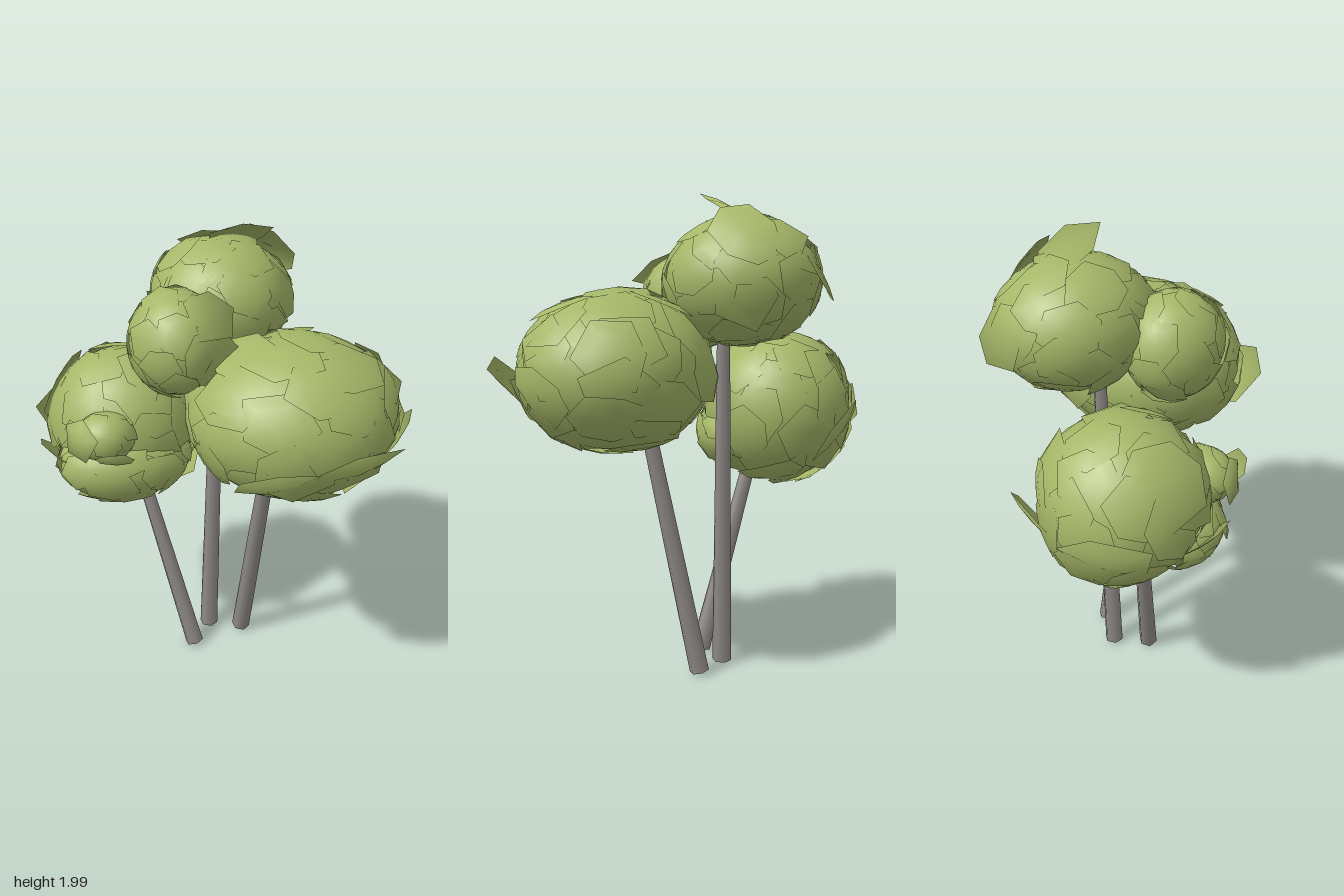
import * as THREE from 'three';
import { mergeGeometries } from 'three/addons/utils/BufferGeometryUtils.js';

const V = (a) => new THREE.Vector3(...a);

// Two directions spanning the plane across a normal, so that a x b = n
function tangents(n) {
  const ref = Math.abs(n.y) < 0.9 ? V([0, 1, 0]) : V([1, 0, 0]);
  const a = ref.cross(n).normalize();
  return [a, n.clone().cross(a)];
}

export function createModel() {
  let seed = 11;
  const rand = () => {
    seed = (seed * 16807) % 2147483647;
    return seed / 2147483647;
  };
  const jitter = (s) => (rand() - 0.5) * 2 * s;

  const leafGreen = new THREE.MeshStandardMaterial({ color: 0xa5b768, side: THREE.DoubleSide });
  leafGreen.name = 'leafGreen';
  const barkGrey = new THREE.MeshStandardMaterial({ color: 0x8f8a88 });
  barkGrey.name = 'barkGrey';

  const model = new THREE.Group();
  model.name = 'tree';

  // Ragged polygon of two rings; place(u, v) bends the unit disc into position
  function leafGeometry(place) {
    const sides = 5 + Math.floor(rand() * 3);
    const turn = rand() * Math.PI;
    const points = [place(0, 0)];
    const radii = Array.from({ length: sides }, () => 0.85 + rand() * 0.3);
    for (const ring of [0.55, 1]) {
      for (let i = 0; i < sides; i++) {
        const t = turn + (i / sides) * Math.PI * 2;
        const r = radii[i] * ring;
        points.push(place(Math.cos(t) * r, Math.sin(t) * r));
      }
    }
    const index = [];
    for (let i = 0; i < sides; i++) {
      const a = 1 + i, b = 1 + (i + 1) % sides;
      index.push(0, a, b, a, a + sides, b + sides, a, b + sides, b);
    }
    const g = new THREE.BufferGeometry().setFromPoints(points);
    g.setIndex(index);
    g.computeVertexNormals();
    return g;
  }

  // Rounded clump: a smooth core under overlapping curved leaves,
  // plus loose leaves standing off it, each given as center, facing, radius
  function clump(name, center, radii, count, size, loose = []) {
    const c = V(center), r = V(radii);
    const core = new THREE.SphereGeometry(0.96, 24, 16);
    core.deleteAttribute('uv');
    core.scale(...radii).translate(...center);
    const leaves = [];
    for (let i = 0; i < count; i++) {
      const y = 1 - (2 * (i + 0.5)) / count;
      const t = i * 2.39996 + jitter(0.25);
      const s = Math.sqrt(1 - y * y);
      const n = V([Math.cos(t) * s, y, Math.sin(t) * s]);
      const [a, b] = tangents(n);
      const lift = 0.99 + rand() * 0.03;
      const tu = jitter(0.06), tv = jitter(0.06);
      leaves.push(leafGeometry((u, v) => n.clone()
        .addScaledVector(a, u * size).addScaledVector(b, v * size).normalize()
        .multiplyScalar(lift + u * tu + v * tv).multiply(r).add(c)));
    }
    for (const [middle, facing, radius] of loose) {
      const n = V(facing).normalize();
      const [a, b] = tangents(n);
      leaves.push(leafGeometry((u, v) => V(middle)
        .addScaledVector(a, u * radius).addScaledVector(b, v * radius)
        .addScaledVector(n, -0.15 * radius * (u * u + v * v))));
    }
    // Shade every leaf with the clump's own roundness
    for (const { attributes: { position, normal } } of leaves) {
      for (let k = 0; k < position.count; k++) {
        const p = new THREE.Vector3().fromBufferAttribute(position, k).sub(c).divide(r).divide(r).normalize();
        normal.setXYZ(k, p.x, p.y, p.z);
      }
    }
    const mesh = new THREE.Mesh(mergeGeometries([core, ...leaves]), leafGreen);
    mesh.name = name;
    model.add(mesh);
  }

  clump('frontFoliage', [0.25, 1.29, 0.23], [0.43, 0.325, 0.4], 46, 0.42, [
    [[0.03, 1.16, 0.57], [-0.15, -0.75, 0.65], 0.17],
    [[0.35, 1.19, 0.61], [0.1, -0.75, 0.65], 0.19],
    [[0.6, 1.22, 0.45], [0.7, -0.5, 0.5], 0.14],
    [[0.65, 1.38, 0.13], [0.9, 0.2, -0.2], 0.14],
    [[0.49, 1.38, -0.02], [0.5, 0.4, -0.75], 0.13],
    [[0.3, 1.02, 0.12], [0.1, -1, -0.1], 0.16],
    [[-0.13, 1.42, 0.19], [-0.75, 0.35, 0.3], 0.13],
    [[0.02, 1.58, 0.21], [-0.35, 0.9, 0.2], 0.13],
  ]);
  clump('backFoliage', [-0.3, 1.1, -0.37], [0.33, 0.335, 0.33], 42, 0.42, [
    [[-0.51, 1.03, -0.63], [-0.5, -0.5, -0.7], 0.18],
    [[-0.12, 1.02, -0.67], [0.15, -0.5, -0.8], 0.17],
    [[-0.57, 1.31, -0.42], [-0.75, 0.45, -0.5], 0.17],
    [[-0.62, 1.0, -0.27], [-0.65, -0.75, 0.1], 0.13],
    [[-0.58, 1.2, -0.28], [-0.85, 0.5, 0.1], 0.14],
    [[-0.07, 0.82, -0.38], [0.4, -0.9, -0.15], 0.14],
    [[-0.32, 0.82, -0.57], [-0.1, -0.8, -0.6], 0.15],
    [[0.0, 1.0, -0.25], [0.85, -0.4, 0.3], 0.13],
  ]);
  clump('topFoliage', [0.11, 1.65, -0.26], [0.3, 0.26, 0.32], 38, 0.44, [
    [[0.18, 1.92, -0.25], [0.05, 0.85, -0.55], 0.15],
    [[0.36, 1.83, -0.31], [0.75, 0.55, -0.4], 0.15],
    [[0.15, 1.68, -0.58], [0, 0.5, -0.85], 0.14],
    [[0.4, 1.6, -0.32], [0.95, 0.2, -0.1], 0.13],
    [[-0.05, 1.82, -0.1], [-0.45, 0.8, 0.35], 0.14],
    [[-0.12, 1.68, -0.33], [-0.9, 0.2, -0.3], 0.12],
  ]);
  clump('topSideFoliage', [-0.17, 1.57, 0], [0.19, 0.215, 0.215], 24, 0.5, [
    [[-0.1, 1.72, 0.14], [-0.2, 0.8, 0.55], 0.13],
    [[-0.06, 1.55, 0.2], [0, 0.3, 0.95], 0.12],
    [[-0.3, 1.48, 0.03], [-0.85, -0.3, 0.2], 0.11],
  ]);
  clump('backFrontFoliage', [-0.34, 0.98, -0.22], [0.3, 0.18, 0.22], 24, 0.48);
  clump('smallFoliage', [-0.45, 1.16, -0.1], [0.13, 0.11, 0.12], 14, 0.55, [
    [[-0.45, 1.11, 0.06], [-0.2, -0.75, 0.65], 0.08],
    [[-0.58, 1.18, -0.06], [-0.85, 0.2, 0.45], 0.1],
  ]);

  // Leaning tapered trunks running up into the foliage
  function trunk(name, base, top, topRadius) {
    const a = V(base), b = V(top);
    const dir = b.clone().sub(a);
    const mesh = new THREE.Mesh(new THREE.CylinderGeometry(topRadius, 0.042, dir.length(), 6), barkGrey);
    mesh.name = name;
    mesh.position.copy(a).add(b).multiplyScalar(0.5);
    mesh.quaternion.setFromUnitVectors(V([0, 1, 0]), dir.normalize());
    model.add(mesh);
  }
  trunk('backTrunk', [-0.09, 0.01, -0.06], [-0.3, 1.05, -0.3], 0.027);
  trunk('topTrunk', [0.025, 0.01, -0.175], [0.075, 1.55, -0.18], 0.026);
  trunk('frontTrunk', [0.165, 0.01, -0.1], [0.21, 1.25, 0.15], 0.03);

  return model;
}
